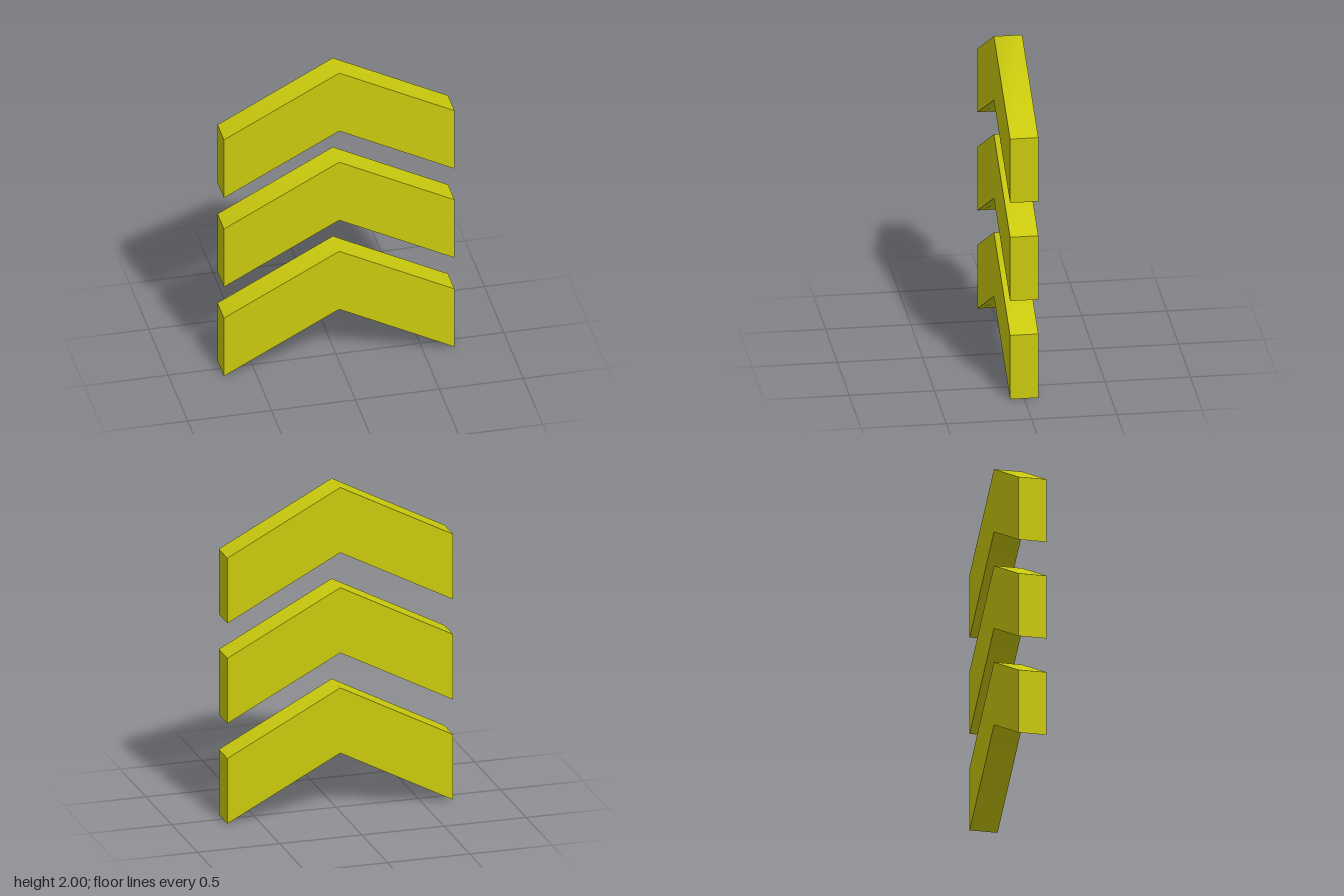
import * as THREE from 'three';
import { toCreasedNormals } from 'three/addons/utils/BufferGeometryUtils.js';

export function createModel() {
  const group = new THREE.Group();
  group.name = 'chevronStack';
  const yellow = new THREE.MeshStandardMaterial({ color: 0xc9c90e });
  yellow.name = 'yellow';

  const halfWidth = 0.687, rise = 0.362, thickness = 0.402, depth = 0.166;
  const spacing = 0.618;

  // Chevron outline, standing on y = 0
  const outline = new THREE.Shape([
    [-halfWidth, 0], [0, rise], [halfWidth, 0],
    [halfWidth, thickness], [0, rise + thickness], [-halfWidth, thickness],
  ].map(([x, y]) => new THREE.Vector2(x, y)));

  // Soft shading across the peak and the notch, sharp edges elsewhere
  const extruded = new THREE.ExtrudeGeometry(outline, { depth, bevelEnabled: false });
  extruded.translate(0, 0, -depth / 2);
  const geometry = toCreasedNormals(extruded, Math.PI / 3);
  geometry.clearGroups();

  // Three equal chevrons, one above the other
  ['lowerChevron', 'middleChevron', 'upperChevron'].forEach((name, i) => {
    const chevron = new THREE.Mesh(geometry, yellow);
    chevron.name = name;
    chevron.position.y = i * spacing;
    group.add(chevron);
  });
  return group;
}
